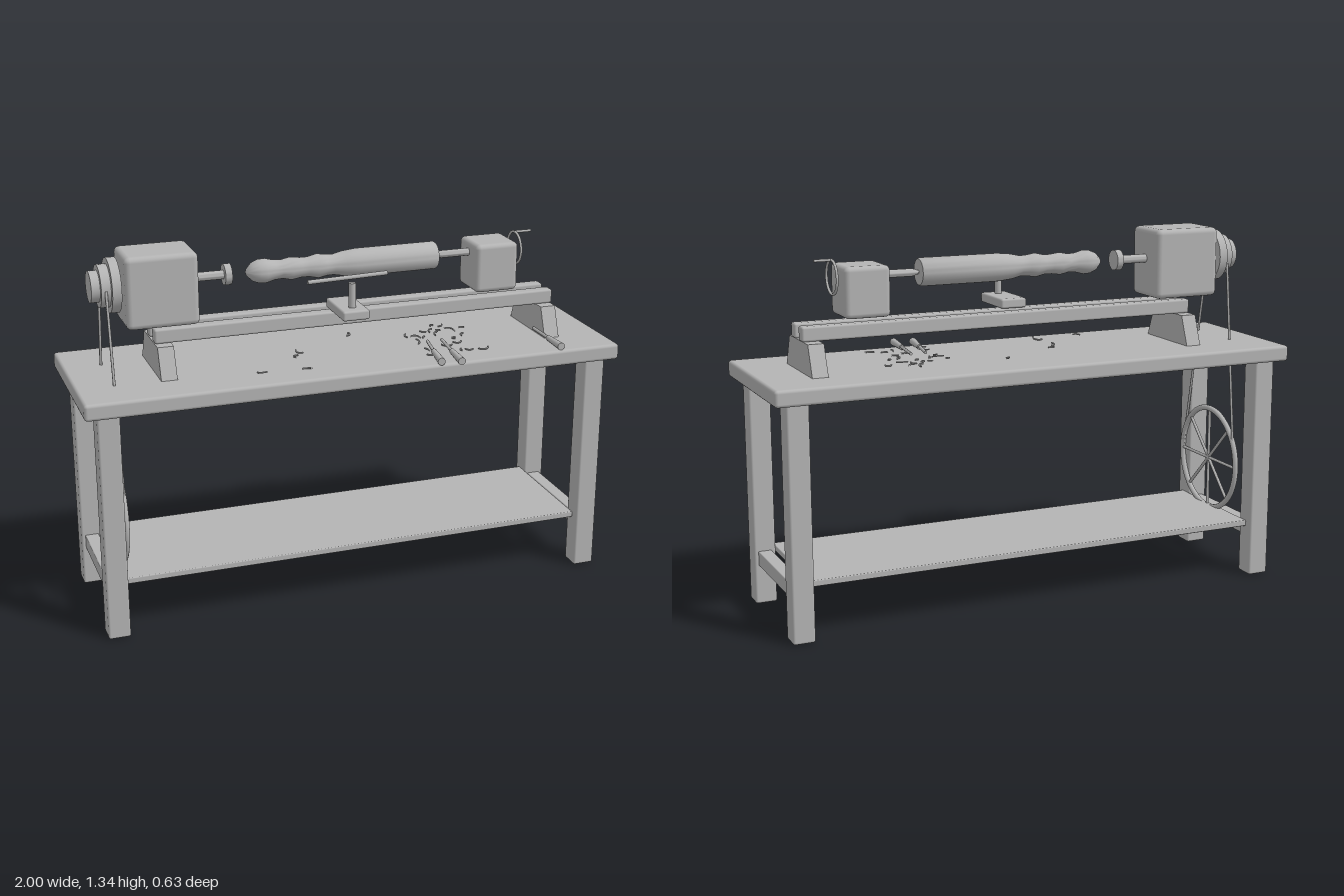
import * as THREE from 'three';
import { toCreasedNormals } from 'three/addons/utils/BufferGeometryUtils.js';
import { RoundedBoxGeometry } from 'three/addons/geometries/RoundedBoxGeometry.js';

const grey = new THREE.MeshStandardMaterial({ color: 0xb4b4b4 });
grey.name = 'plain grey';

const AXIS_Y = 1.22, AXIS_Z = -0.016; // turning axis of the lathe

export function createModel() {
  const model = new THREE.Group();
  model.name = 'treadleLathe';

  const add = (name, geometry, parent = model) => {
    const mesh = new THREE.Mesh(geometry, grey);
    mesh.name = name;
    parent.add(mesh);
    return mesh;
  };
  // Box given by its limits, with softened edges
  const box = (name, [x0, x1], [y0, y1], [z0, z1], r = 0.008) => {
    const g = new RoundedBoxGeometry(x1 - x0, y1 - y0, z1 - z0, 2, r);
    g.translate((x0 + x1) / 2, (y0 + y1) / 2, (z0 + z1) / 2);
    return add(name, g);
  };
  // Round bar between two points, optionally tapered
  const rod = (name, a, b, r0, r1 = r0, parent = model, sides = 16) => {
    const from = new THREE.Vector3(...a), to = new THREE.Vector3(...b);
    const dir = to.clone().sub(from);
    const mesh = add(name, new THREE.CylinderGeometry(r1, r0, dir.length(), sides), parent);
    mesh.position.copy(from).add(to).multiplyScalar(0.5);
    mesh.quaternion.setFromUnitVectors(new THREE.Vector3(0, 1, 0), dir.normalize());
    return mesh;
  };
  // Turned part on the lathe axis from [x, radius] pairs
  const turned = (name, profile) => {
    const g = new THREE.LatheGeometry(profile.map(([x, r]) => new THREE.Vector2(r, x)), 32);
    g.rotateZ(-Math.PI / 2);
    g.translate(0, AXIS_Y, AXIS_Z);
    return add(name, toCreasedNormals(g, 0.7));
  };

  // Bench
  box('benchTop', [-1, 1], [0.84, 0.9], [-0.315, 0.285], 0.012);
  for (const s of [-1, 1]) {
    const xs = [s * 0.915 - 0.04, s * 0.915 + 0.04];
    box('benchLeg', xs, [0, 0.845], [0.18, 0.26]);
    box('benchLeg', xs, [0, 0.845], [-0.287, -0.207]);
    box('shelfRail', [s * 0.915 - 0.025, s * 0.915 + 0.025], [0.145, 0.2], [-0.22, 0.195], 0.004);
  }
  box('shelf', [-0.875, 0.875], [0.19, 0.213], [-0.255, 0.225], 0.004);

  // Lathe bed: two rails on splayed feet
  box('bedRail', [-0.7, 0.83], [1.01, 1.063], [0.007, 0.053]);
  box('bedRail', [-0.7, 0.83], [1.01, 1.063], [-0.08, -0.034]);
  const footShape = new THREE.Shape([[-0.15, 0], [0.15, 0], [0.107, 0.11], [-0.107, 0.11]]
    .map(p => new THREE.Vector2(...p)));
  for (const x of [-0.7, 0.767]) {
    const foot = add('bedFoot', new THREE.ExtrudeGeometry(footShape, { depth: 0.058, bevelEnabled: false }));
    foot.rotation.y = Math.PI / 2;
    foot.position.set(x, 0.9, -0.018);
  }

  // Headstock with stepped pulley, spindle and faceplate
  box('headstock', [-0.8, -0.54], [1.075, 1.335], [-0.115, 0.082], 0.02);
  turned('steppedPulley', [[-0.91, 0], [-0.91, 0.056], [-0.879, 0.056], [-0.879, 0.076],
    [-0.845, 0.076], [-0.845, 0.097], [-0.812, 0.097], [-0.812, 0.02], [-0.79, 0.02]]);
  turned('headSpindle', [[-0.55, 0.016], [-0.43, 0.016], [-0.43, 0.038], [-0.405, 0.038], [-0.405, 0]]);

  // Workpiece: turned beads on the left, plain stock on the right
  turned('workpiece', [[-0.35, 0], [-0.345, 0.012], [-0.325, 0.033], [-0.3, 0.043], [-0.275, 0.044],
    [-0.245, 0.036], [-0.215, 0.034], [-0.18, 0.041], [-0.145, 0.036], [-0.115, 0.036],
    [-0.08, 0.044], [-0.05, 0.039], [-0.02, 0.037], [0.02, 0.046], [0.07, 0.051],
    [0.37, 0.051], [0.376, 0.047], [0.376, 0]]);

  // Tailstock, its centre and the crank ring
  box('tailstock', [0.51, 0.677], [1.08, 1.262], [-0.1, 0.067], 0.018);
  turned('tailCentre', [[0.37, 0.004], [0.4, 0.014], [0.52, 0.014]]);
  const ring = add('crankRing', new THREE.TorusGeometry(0.06, 0.005, 8, 32));
  ring.rotation.y = Math.PI / 2;
  ring.position.set(0.698, AXIS_Y, AXIS_Z);
  rod('crankHandle', [0.695, 1.28, AXIS_Z], [0.762, 1.28, AXIS_Z], 0.005);

  // Tool rest
  box('restBase', [-0.05, 0.05], [1.064, 1.1], [-0.01, 0.185]);
  rod('restPost', [0, 1.09, 0.135], [0, 1.19, 0.135], 0.013);
  rod('restBar', [-0.15, 1.192, 0.086], [0.15, 1.2, 0.086], 0.008);

  // Flywheel under the bench
  const wheel = new THREE.Group();
  wheel.name = 'flywheel';
  wheel.position.set(-0.865, 0.402, 0.018);
  wheel.rotation.y = Math.PI / 2;
  model.add(wheel);
  add('wheelRim', new THREE.TorusGeometry(0.2, 0.011, 10, 48), wheel);
  for (let i = 0; i < 4; i++) {
    const a = i * Math.PI / 4, c = 0.198 * Math.cos(a), s = 0.198 * Math.sin(a);
    rod('wheelSpoke', [-c, -s, 0], [c, s, 0], 0.006, 0.006, wheel, 8);
  }

  // Drive belt runs
  rod('driveBelt', [-0.863, 1.22, 0.058], [-0.863, 0.4, 0.213], 0.005, 0.005, model, 8);
  rod('driveBelt', [-0.863, 1.22, -0.078], [-0.863, 0.42, -0.168], 0.005, 0.005, model, 8);

  // Chisels on the bench: handle end, ferrule, blade tip as [x, z]
  const chisels = [
    [[0.285, 0.29], [0.303, 0.17], [0.325, 0.055]],
    [[0.355, 0.31], [0.366, 0.19], [0.382, 0.055]],
    [[0.765, 0.275], [0.765, 0.165], [0.765, 0.04]],
  ];
  for (const pts of chisels) {
    const [end, ferrule, tip] = pts.map(([x, z]) => [x, 0.913, z]);
    rod('chiselHandle', end, ferrule, 0.014, 0.01);
    rod('chiselBlade', ferrule, tip, 0.006, 0.006, model, 8);
  }

  // Curled shavings scattered on the bench
  let seed = 7;
  const rand = () => (seed = (seed * 16807) % 2147483647) / 2147483647;
  for (let i = 0; i < 26; i++) {
    const spread = i < 18 ? 0.27 : 0.85;
    const curl = add('shaving', new THREE.TorusGeometry(0.014 + rand() * 0.008, 0.003, 6, 10, 1.5 + rand() * 1.5));
    curl.rotation.set(-Math.PI / 2 + (rand() - 0.5) * 0.5, 0, rand() * 6.28);
    curl.position.set((i < 18 ? 0.25 : -0.35) + rand() * spread, 0.908, -0.15 + rand() * 0.35);
  }
  return model;
}
